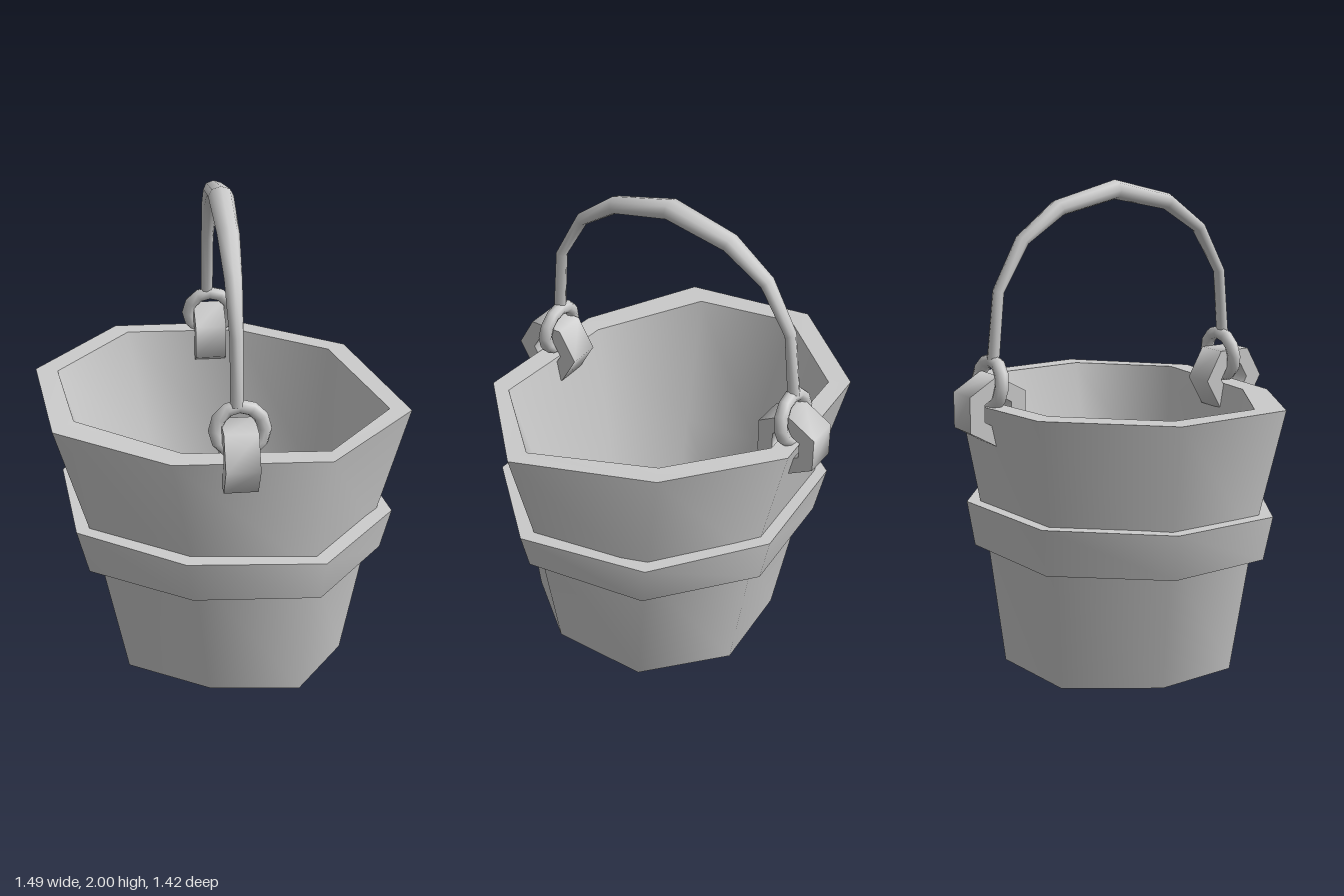
import * as THREE from 'three';
import { toCreasedNormals } from 'three/addons/utils/BufferGeometryUtils.js';

const CREASE = 1.1;
const grey = new THREE.MeshStandardMaterial({ color: 0xcccccc });

// Uneven eight-sided outlines as [x, z]
const BOTTOM = [[-0.21, -0.4], [0.185, -0.43], [0.485, -0.16], [0.485, 0.25], [0.27, 0.525], [-0.1, 0.485], [-0.42, 0.29], [-0.435, -0.06]];
const TOP = [[-0.4, -0.61], [0.15, -0.64], [0.565, -0.32], [0.74, 0.255], [0.36, 0.635], [-0.25, 0.6], [-0.69, 0.335], [-0.75, -0.21]];
const FLOOR = [[-0.175, -0.32], [0.14, -0.345], [0.38, -0.14], [0.38, 0.17], [0.21, 0.38], [-0.085, 0.35], [-0.345, 0.2], [-0.35, -0.065]];
const MOUTH = [[-0.35, -0.535], [0.13, -0.555], [0.49, -0.275], [0.655, 0.23], [0.365, 0.55], [-0.2, 0.51], [-0.605, 0.245], [-0.66, -0.18]];
const RIM_Y = [1.17, 1.15, 1.165, 1.125, 1.12, 1.12, 1.145, 1.165];

const mix = (a, b, t) => a.map((p, i) => [p[0] + (b[i][0] - p[0]) * t, p[1] + (b[i][1] - p[1]) * t]);
// Pushes an outline outwards by d
const grow = (ring, d) => ring.map(([x, z]) => {
  const k = 1 + d / Math.hypot(x, z);
  return [x * k, z * k];
});
// Lifts a flat outline to 3D, y given by a function of (x, z, index)
const lift = (ring, y) => ring.map(([x, z], i) => [x, y(x, z, i), z]);
// Shrinks a 3D ring to its centre, closing the end of a loft
const centre = (ring) => {
  const c = [0, 1, 2].map((k) => ring.reduce((s, p) => s + p[k], 0) / ring.length);
  return ring.map(() => c);
};

// Skins a list of 3D rings
function loft(rings) {
  const n = rings[0].length;
  const index = [];
  for (let r = 0; r < rings.length - 1; r++) {
    for (let i = 0; i < n; i++) {
      const j = (i + 1) % n;
      const a = r * n + i, b = a + n, c = (r + 1) * n + j, d = r * n + j;
      index.push(a, b, c, a, c, d);
    }
  }
  const g = new THREE.BufferGeometry();
  g.setAttribute('position', new THREE.Float32BufferAttribute(rings.flat(2), 3));
  g.setIndex(index);
  return toCreasedNormals(g, CREASE);
}

function add(parent, name, geometry) {
  const mesh = new THREE.Mesh(geometry, grey);
  mesh.name = name;
  parent.add(mesh);
  return mesh;
}

// Wall with thickness, open at the top, with a floor inside
function bucketGeometry() {
  const base = lift(BOTTOM, () => 0);
  const floor = lift(FLOOR, () => 0.08);
  return loft([
    centre(base), base,
    lift(mix(BOTTOM, TOP, 0.43), () => 0.6),
    lift(TOP, (x, z, i) => RIM_Y[i]),
    lift(MOUTH, (x, z, i) => RIM_Y[i]),
    lift(mix(FLOOR, MOUTH, 0.45), () => 0.6),
    floor, centre(floor),
  ]);
}

// Slightly tilted hoop around the wall
function hoopGeometry() {
  const lowY = (x, z) => 0.515 - 0.025 * z;
  const highY = (x, z) => 0.7 - 0.04 * z - 0.015 * x;
  const low = mix(BOTTOM, TOP, 0.38), high = mix(BOTTOM, TOP, 0.53);
  const innerLow = lift(grow(low, -0.06), lowY);
  return loft([
    innerLow,
    lift(grow(low, 0.055), lowY),
    lift(grow(high, 0.06), highY),
    lift(grow(high, -0.06), highY),
    innerLow,
  ]);
}

// Bail handle, thicker at the grip: [z, y, sideways radius, radius in the arc's plane]
function handleGeometry() {
  const path = [
    [0.553, 1.33, 0.025, 0.025], [0.53, 1.595, 0.026, 0.022], [0.42, 1.785, 0.034, 0.026],
    [0.255, 1.9, 0.043, 0.034], [0, 1.96, 0.05, 0.039], [-0.265, 1.9, 0.043, 0.034],
    [-0.43, 1.785, 0.034, 0.026], [-0.54, 1.595, 0.026, 0.022], [-0.568, 1.33, 0.025, 0.025],
  ];
  const sides = 8;
  const rings = path.map(([z, y, rx, rn], k) => {
    const p = path[Math.max(k - 1, 0)], q = path[Math.min(k + 1, path.length - 1)];
    const len = Math.hypot(q[0] - p[0], q[1] - p[1]);
    const uz = (q[0] - p[0]) / len, uy = (q[1] - p[1]) / len;
    return Array.from({ length: sides }, (_, i) => {
      const a = (i / sides) * Math.PI * 2;
      const s = Math.sin(a) * rn;
      return [Math.cos(a) * rx, y - uz * s, z + uy * s];
    });
  });
  return loft([centre(rings[0]), ...rings, centre(rings[rings.length - 1])]);
}

// Hexagonal bracket with a hexagonal hole, extruded along x
function bracketGeometry(turn) {
  const hexagon = (r) => Array.from({ length: 6 }, (_, i) => {
    const a = turn + (i * Math.PI) / 3;
    return new THREE.Vector2(Math.cos(a) * r, Math.sin(a) * r);
  });
  const shape = new THREE.Shape(hexagon(0.142));
  shape.holes.push(new THREE.Path(hexagon(0.068)));
  const g = new THREE.ExtrudeGeometry(shape, { depth: 0.132, bevelEnabled: false });
  g.translate(0, 0, -0.066);
  g.rotateY(Math.PI / 2);
  return toCreasedNormals(g, CREASE);
}

export function createModel() {
  const model = new THREE.Group();
  model.name = 'bucket';
  add(model, 'bucketWall', bucketGeometry());
  add(model, 'hoop', hoopGeometry());
  add(model, 'handle', handleGeometry());

  // Bracket and ring at each end of the handle
  const ends = [
    { name: 'front', z: 0.575, ringZ: 0.555, turn: 0, tilt: -0.1 },
    { name: 'back', z: -0.583, ringZ: -0.578, turn: Math.PI / 6, tilt: 0.15 },
  ];
  for (const e of ends) {
    add(model, e.name + 'Bracket', bracketGeometry(e.turn)).position.set(0.007, 1.137, e.z);
    const ring = add(model, e.name + 'Ring', new THREE.TorusGeometry(0.093, 0.028, 8, 12));
    ring.position.set(0.012, 1.235, e.ringZ);
    ring.rotation.x = e.tilt;
  }
  return model;
}
